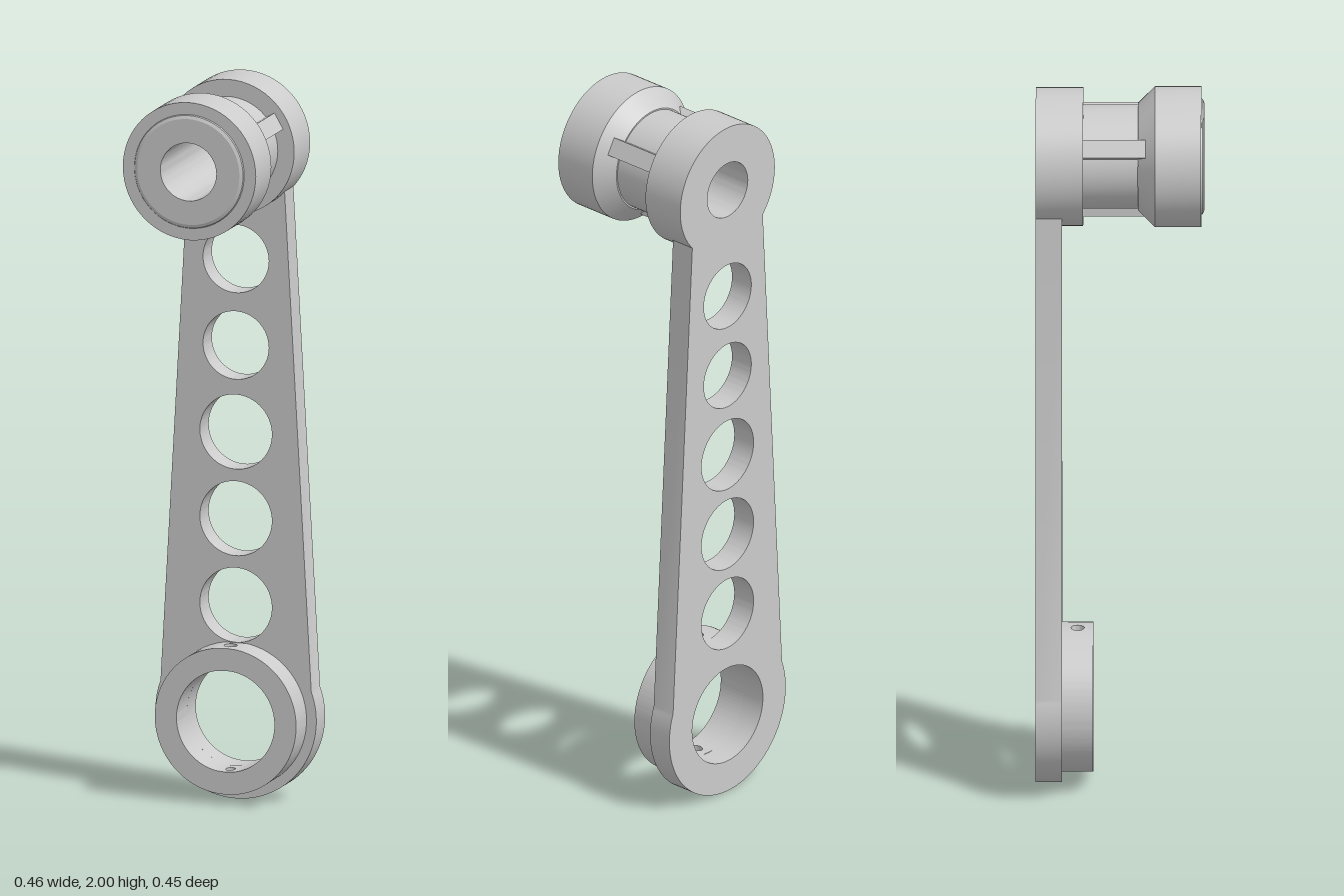
import * as THREE from 'three';
import { toCreasedNormals } from 'three/addons/utils/BufferGeometryUtils.js';

const material = new THREE.MeshStandardMaterial({ color: 0xcccccc });
const EYE_Y = 0.231, HUB_Y = 1.811;   // heights of the two axes
const BACK = -0.228, PLATE_FRONT = -0.157, COLLAR_FRONT = -0.073;

function addMesh(parent, name, geometry) {
  const mesh = new THREE.Mesh(toCreasedNormals(geometry, 0.4), material);
  mesh.name = name;
  parent.add(mesh);
  return mesh;
}

// Extrude a flat shape between two z positions
function slab(shape, z0, z1) {
  return new THREE.ExtrudeGeometry(shape, { depth: z1 - z0, bevelEnabled: false, curveSegments: 40 })
    .translate(0, 0, z0);
}

// Revolve [radius, z] pairs around the z axis
function turned(profile) {
  return new THREE.LatheGeometry(profile.map(([r, z]) => new THREE.Vector2(r, z)), 64)
    .rotateX(Math.PI / 2);
}

function circleHole(x, y, r) {
  return new THREE.Path().absarc(x, y, r, 0, Math.PI * 2, true);
}

export function createModel() {
  const model = new THREE.Group();
  model.name = 'crankArm';

  // Tapered arm plate: round eye below, concave seat for the hub above
  const a = 0.357, b = 0.72;
  const plate = new THREE.Shape();
  plate.absarc(0, EYE_Y, 0.23, Math.PI - a, Math.PI * 2 + a, false);
  plate.absarc(0, HUB_Y, 0.185, -b, -Math.PI + b, true);
  plate.closePath();
  plate.holes.push(circleHole(0, EYE_Y, 0.14));
  [0.103, 0.103, 0.103, 0.094, 0.094].forEach((r, i) => {
    plate.holes.push(circleHole(0, 0.535 + i * 0.239, r));
  });
  addMesh(model, 'armPlate', slab(plate, BACK, PLATE_FRONT));

  // Clamping collar around the eye, with a set-screw hole at top and bottom
  const collar = new THREE.Group();
  collar.name = 'collar';
  collar.position.y = EYE_Y;
  model.add(collar);
  const inner = 0.14, outer = 0.202, half = 0.15;
  for (let i = 0; i < 2; i++) {
    const arc = new THREE.Shape();
    const from = -Math.PI / 2 + half, to = Math.PI / 2 - half;
    arc.absarc(0, 0, outer, from, to, false);
    arc.absarc(0, 0, inner, to, from, true);
    arc.closePath();
    addMesh(collar, 'collarHalf', slab(arc, PLATE_FRONT, COLLAR_FRONT)).rotation.z = i * Math.PI;

    // Drilled wall section, bent to the collar radius
    const w = half * outer;
    const patch = new THREE.Shape([
      new THREE.Vector2(-w, PLATE_FRONT), new THREE.Vector2(w, PLATE_FRONT),
      new THREE.Vector2(w, COLLAR_FRONT), new THREE.Vector2(0, COLLAR_FRONT),
      new THREE.Vector2(-w, COLLAR_FRONT),
    ]);
    patch.holes.push(circleHole(0, (PLATE_FRONT + COLLAR_FRONT) / 2, 0.018));
    const wall = slab(patch, inner, outer);
    const p = wall.attributes.position;
    for (let k = 0; k < p.count; k++) {
      const angle = p.getX(k) / outer, r = p.getZ(k);
      p.setXYZ(k, -r * Math.sin(angle), r * Math.cos(angle), p.getY(k));
    }
    addMesh(collar, 'screwHoleWall', wall).rotation.z = i * Math.PI;
  }

  // Handle at the top of the arm
  const handle = new THREE.Group();
  handle.name = 'handle';
  handle.position.y = HUB_Y;
  model.add(handle);

  // Bored hub and shaft
  addMesh(handle, 'hubAndShaft', turned([
    [0.08, 0.226], [0.08, BACK], [0.187, BACK], [0.187, -0.1], [0.14, -0.1], [0.14, 0.047],
  ]));

  // Roller head with chamfered back and raised front cap
  addMesh(handle, 'rollerHead', turned([
    [0.14, 0.047], [0.144, 0.047], [0.19, 0.093], [0.19, 0.218],
    [0.157, 0.218], [0.155, 0.222], [0.146, 0.226], [0.08, 0.226],
  ]));

  // Three ribs along the shaft
  for (let i = 0; i < 3; i++) {
    const rib = new THREE.BoxGeometry(0.035, 0.05, 0.168).translate(0.1475, 0, -0.016);
    addMesh(handle, 'shaftRib', rib).rotation.z = Math.PI / 6 + i * Math.PI * 2 / 3;
  }

  return model;
}
